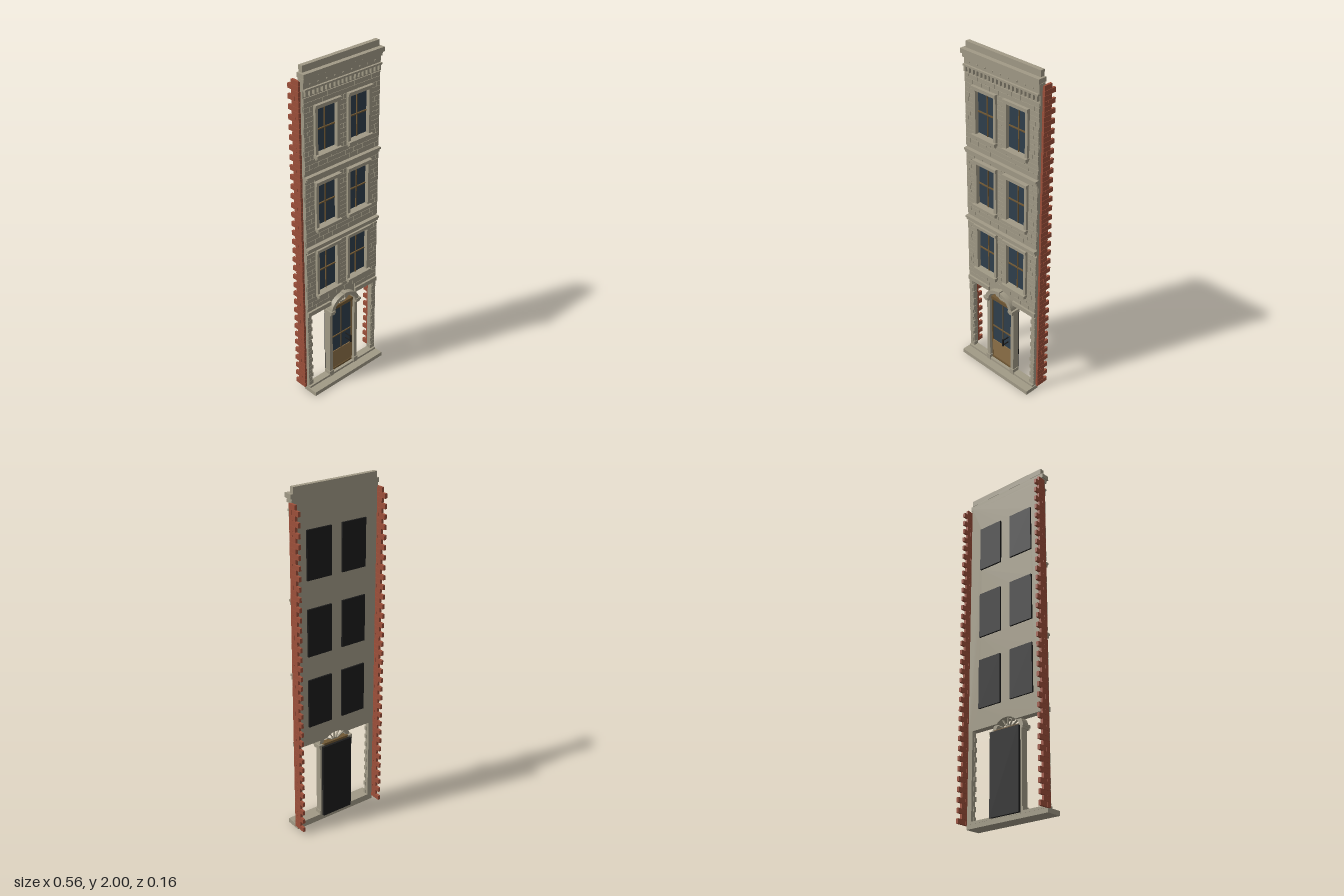
import * as THREE from 'three';
import { mergeGeometries } from 'three/addons/utils/BufferGeometryUtils.js';

const mat = (name, color, side = THREE.FrontSide) => {
  const m = new THREE.MeshStandardMaterial({ color, side });
  m.name = name;
  return m;
};

// Box from its limits
function box(x0, x1, y0, y1, z0, z1) {
  return new THREE.BoxGeometry(x1 - x0, y1 - y0, z1 - z0)
    .translate((x0 + x1) / 2, (y0 + y1) / 2, (z0 + z1) / 2);
}
// The same box on both sides of x = 0
const pair = (x0, x1, ...r) => [box(x0, x1, ...r), box(-x1, -x0, ...r)];

function extrude(shape, z0, z1) {
  return new THREE.ExtrudeGeometry(shape, { depth: z1 - z0, bevelEnabled: false, curveSegments: 20 }).translate(0, 0, z0);
}

function rectPath(x0, x1, y0, y1) {
  const p = new THREE.Path();
  p.moveTo(x0, y0); p.lineTo(x0, y1); p.lineTo(x1, y1); p.lineTo(x1, y0); p.closePath();
  return p;
}

export function createModel() {
  const stone = mat('stone', 0xa19a86);
  const brick = mat('red brick', 0x9c4f3a);
  const glass = mat('dark glass', 0x2f3f4c);
  const wood = mat('door wood', 0x8c6f47);
  const trim = mat('bronze trim', 0x6f5733);
  const black = mat('black backing', 0x1c1c1c);

  const group = new THREE.Group();
  const add = (name, parts, material) => {
    const list = [parts].flat().map(g => (g.index ? g.toNonIndexed() : g));
    const mesh = new THREE.Mesh(mergeGeometries(list), material);
    mesh.name = name;
    group.add(mesh);
  };

  const W = 0.265;                       // half width of the facade
  const back = -0.013, face = 0.015;     // wall planes
  const floors = [[0.65, 0.925], [1.075, 1.335], [1.505, 1.765]];
  const wx0 = 0.042, wx1 = 0.185;        // window opening
  const archY = 0.49;

  // Upper wall with window openings and the notch over the fanlight
  const wall = new THREE.Shape();
  const t = Math.asin(0.04 / 0.065), nx = 0.08 * Math.cos(t);
  wall.moveTo(-W, 0.53);
  wall.lineTo(-nx, 0.53);
  wall.absellipse(0, archY, 0.08, 0.065, Math.PI - t, t, true);
  wall.lineTo(W, 0.53);
  wall.lineTo(W, 1.95);
  wall.lineTo(-W, 1.95);
  wall.closePath();
  for (const [y0, y1] of floors) {
    wall.holes.push(rectPath(wx0, wx1, y0, y1), rectPath(-wx1, -wx0, y0, y1));
  }
  add('wall', extrude(wall, back, face), stone);

  // Staggered stone blocks over the wall, stopping at the windows and bands
  const blocks = [];
  const pitch = 0.0265, gap = 0.0015;
  for (let r = 0; r < 48; r++) {
    const y0 = 0.562 + r * pitch, y1 = y0 + pitch - gap;
    const mid = (y0 + y1) / 2;
    if (y1 > 1.84 || (mid > 0.94 && mid < 0.978) || (mid > 1.37 && mid < 1.405)) continue;
    const atWindow = floors.some(([a, b]) => mid > a - 0.02 && mid < b + 0.018);
    const spans = atWindow ? [[-W, -0.203], [-0.026, 0.026], [0.203, W]]
      : mid < 0.585 ? [[-W, -0.095], [0.095, W]] : [[-W, W]];
    for (const [a, b] of spans) {
      const cuts = [a];
      if (b - a < 0.1) {
        if (b - a > 0.055 || r % 2) cuts.push(a + (b - a) * (r % 2 ? 0.6 : 0.4));
      } else {
        for (let x = a + (r % 2 ? 0.033 : 0.062); x < b - 0.02; x += 0.062) cuts.push(x);
      }
      cuts.push(b);
      for (let i = 0; i < cuts.length - 1; i++) {
        blocks.push(box(cuts[i] + gap / 2, cuts[i + 1] - gap / 2, y0, y1, face, 0.021));
      }
    }
  }
  add('stoneBlocks', blocks, stone);

  // Windows: surround, hood, sill, sash, panes and dark backing
  const surrounds = [], panes = [], bars = [], backs = [];
  for (const [y0, y1] of floors) {
    const ym = (y0 + y1) / 2, xm = (wx0 + wx1) / 2;
    surrounds.push(
      ...pair(wx0 - 0.012, wx0 + 0.005, y0, y1, 0.008, 0.03),
      ...pair(wx1 - 0.005, wx1 + 0.012, y0, y1, 0.008, 0.03),
      ...pair(wx0 - 0.012, wx1 + 0.012, y1 - 0.005, y1 + 0.01, 0.008, 0.034),
      ...pair(wx0 - 0.016, wx1 + 0.016, y1 + 0.01, y1 + 0.018, face, 0.04),
      ...pair(wx0 - 0.016, wx1 + 0.016, y0 - 0.014, y0 + 0.003, 0, 0.045),
      ...pair(wx0 - 0.01, wx0 + 0.012, y0 - 0.026, y0 - 0.014, face, 0.032),
      ...pair(wx1 - 0.012, wx1 + 0.01, y0 - 0.026, y0 - 0.014, face, 0.032));
    panes.push(...pair(wx0, wx1, y0, y1, -0.012, 0.002));
    bars.push(
      ...pair(xm - 0.0025, xm + 0.0025, y0, y1, 0.002, 0.008),
      ...pair(wx0, wx1, ym - 0.003, ym + 0.003, 0.002, 0.01));
    backs.push(...pair(0.035, 0.188, y0 - 0.005, y1 + 0.005, -0.023, back));
  }
  add('windowSurrounds', surrounds, stone);
  add('windowPanes', panes, glass);
  add('windowBars', bars, trim);
  add('windowBacking', backs, black);

  // String courses and the beam above the ground floor
  add('stringCourses', [
    box(-W, W, 0.945, 0.962, face, 0.03), box(-W, W, 0.962, 0.974, face, 0.038),
    box(-W, W, 1.374, 1.39, face, 0.03), box(-W, W, 1.39, 1.402, face, 0.038),
    ...pair(0.095, W, 0.53, 0.557, face, 0.028)], stone);

  // Cornice, dentils and parapet
  add('cornice', [
    box(-W, W, 1.872, 1.882, face, 0.034),
    box(-W, W, 1.882, 1.918, face, 0.022),
    box(-0.27, 0.27, 1.918, 1.935, back, 0.03),
    box(-0.275, 0.275, 1.94, 1.965, back, 0.039),
    box(-0.268, 0.268, 1.935, 1.94, back, 0.028),
    box(-0.262, 0.262, 1.965, 2, -0.014, 0.012)], stone);
  const dentils = [];
  for (let i = 0; i < 19; i++) {
    const x = -0.252 + i * 0.028;
    dentils.push(box(x - 0.007, x + 0.007, 1.842, 1.872, face, 0.032));
    if (i % 2) dentils.push(box(x - 0.004, x + 0.004, 1.896, 1.904, 0.02, 0.026));
  }
  add('dentils', dentils, stone);

  // Base step, threshold and corner piers
  add('baseStep', box(-0.27, 0.27, 0, 0.025, -0.012, 0.08), stone);
  add('threshold', box(-W, W, 0.025, 0.038, back, 0.03), stone);
  const piers = pair(0.236, W, 0.038, 0.53, back, 0.014);
  for (let r = 0; r < 18; r++) {
    const y = 0.04 + r * 0.027;
    piers.push(...pair(r % 2 ? 0.24 : 0.232, W, y, y + 0.0255, 0.002, 0.02));
  }
  add('cornerPiers', piers, stone);

  // Toothed brick returns at both sides
  const bricks = [];
  for (let r = 0; r < 68; r++) {
    const y0 = 0.022 + r * 0.02795, y1 = y0 + 0.0265;
    const cuts = r % 2 ? [0, -0.053] : [0, -0.026, -0.08];
    for (let i = 0; i < cuts.length - 1; i++) {
      bricks.push(...pair(W, 0.279, y0, y1, cuts[i + 1] + 0.001, cuts[i]));
    }
  }
  add('brickReturns', bricks, brick);

  // Door frame with capitals
  add('doorFrame', [
    ...pair(0.086, 0.108, 0.038, 0.475, back, 0.028),
    ...pair(0.082, 0.112, 0.025, 0.06, back, 0.033),
    ...pair(0.084, 0.113, 0.47, 0.482, back, 0.045),
    ...pair(0.082, 0.116, 0.482, 0.497, back, 0.05)], stone);

  // Arch ring, keystone and fanlight ribs
  const ring = new THREE.Shape();
  ring.absellipse(0, archY, 0.105, 0.085, 0, Math.PI, false);
  ring.lineTo(-0.08, archY);
  ring.absellipse(0, archY, 0.08, 0.065, Math.PI, 0, true);
  ring.closePath();
  const hub = new THREE.Shape();
  hub.absellipse(0, archY, 0.026, 0.02, 0, Math.PI, false);
  hub.closePath();
  add('doorArch', [extrude(ring, 0, 0.045), box(-0.011, 0.011, 0.55, 0.582, 0.015, 0.05)], stone);
  const ribs = [extrude(hub, 0, 0.014)];
  for (let i = 1; i < 6; i++) {
    const a = i * Math.PI / 6;
    const len = 1 / Math.hypot(Math.cos(a) / 0.082, Math.sin(a) / 0.067);
    ribs.push(box(0, len, -0.002, 0.002, 0, 0.012).rotateZ(a).translate(0, archY, 0));
  }
  add('fanlight', ribs, stone);

  // Door leaves
  add('doorPanel', [box(-0.086, 0.086, 0.05, 0.17, -0.012, 0.008)], wood);
  add('doorGlass', box(-0.086, 0.086, 0.17, 0.48, -0.012, 0.003), glass);
  add('doorTrim', [
    box(-0.088, 0.088, 0.48, 0.5, -0.012, 0.022),
    box(-0.086, 0.086, 0.038, 0.05, -0.012, 0.012),
    box(-0.002, 0.002, 0.17, 0.48, 0.003, 0.009),
    box(-0.086, 0.086, 0.273, 0.28, 0.003, 0.009),
    ...pair(0.081, 0.086, 0.05, 0.48, 0.003, 0.011)], trim);
  add('doorHandle', [
    box(0.037, 0.044, 0.21, 0.258, 0.042, 0.05),
    box(0.038, 0.043, 0.214, 0.22, 0.003, 0.042),
    box(0.038, 0.043, 0.248, 0.254, 0.003, 0.042)], black);
  add('doorBacking', box(-0.098, 0.098, 0.03, 0.487, -0.028, back), black);

  return group;
}
